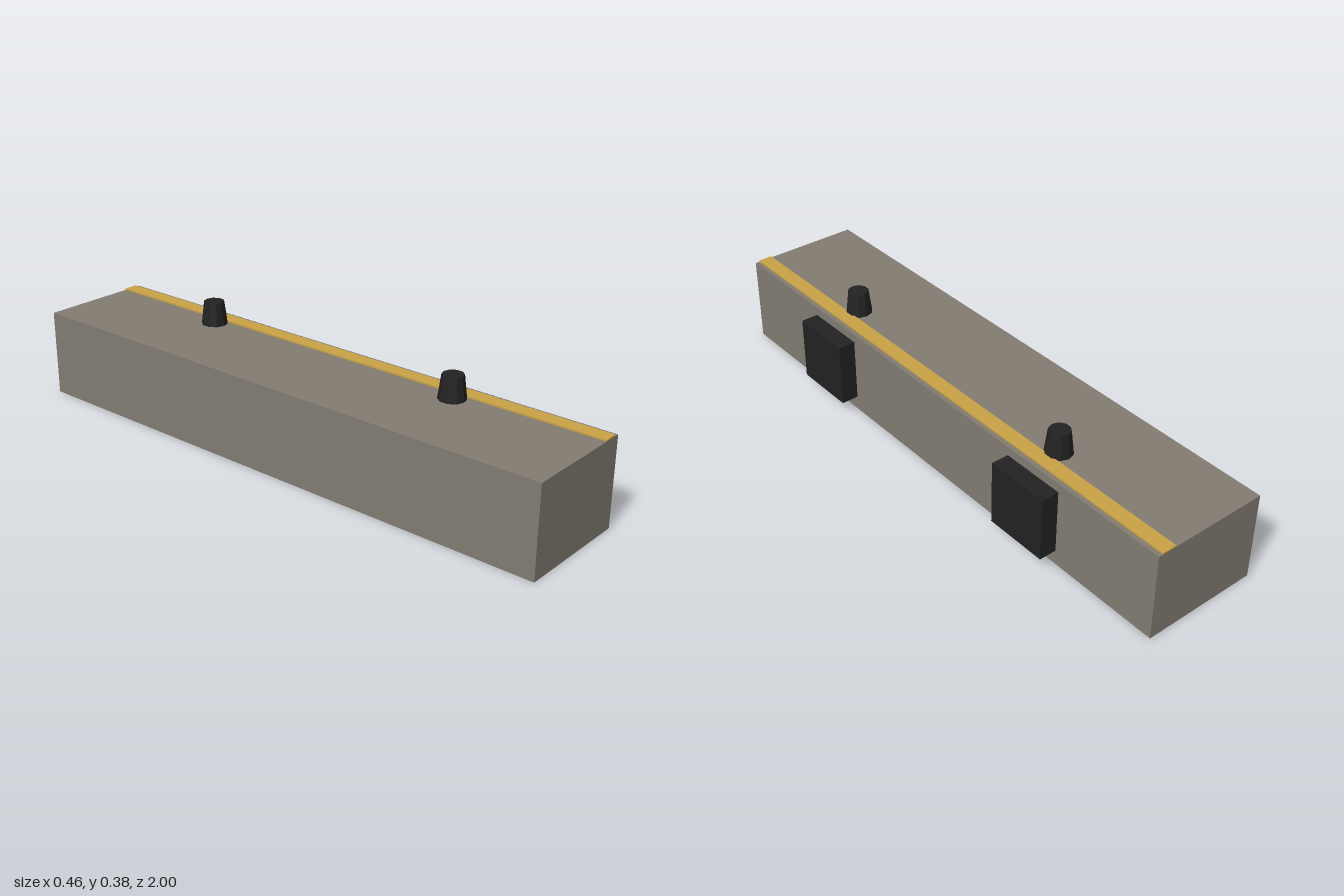
import * as THREE from 'three';

export function createModel() {
  const concrete = new THREE.MeshStandardMaterial({ name: 'concrete grey', color: 0x827c72 });
  const yellow = new THREE.MeshStandardMaterial({ name: 'safety yellow', color: 0xc9a246 });
  const black = new THREE.MeshStandardMaterial({ name: 'rubber black', color: 0x222222 });
  // faceted sides come from a non-indexed geometry with its own face normals
  const faceted = (geometry) => {
    const g = geometry.toNonIndexed();
    g.computeVertexNormals();
    return g;
  };

  const model = new THREE.Group();
  model.name = 'quay';
  const add = (name, geometry, material, x, y, z) => {
    const mesh = new THREE.Mesh(geometry, material);
    mesh.name = name;
    mesh.position.set(x, y, z);
    model.add(mesh);
  };

  // main block and the painted edge line along it
  add('quayBlock', new THREE.BoxGeometry(0.4, 0.3, 2), concrete, -0.03, 0.15, 0);
  add('edgeStripe', new THREE.BoxGeometry(0.05, 0.005, 2), yellow, 0.13, 0.3025, 0);

  // a tapered bollard above each fender
  const bollard = faceted(new THREE.CylinderGeometry(0.035, 0.045, 0.08, 10));
  const fender = new THREE.BoxGeometry(0.06, 0.22, 0.22);
  for (const z of [-0.5, 0.5]) {
    add('bollard', bollard, black, 0.07, 0.34, z);
    add('fender', fender, black, 0.2, 0.16, z);
  }
  return model;
}
